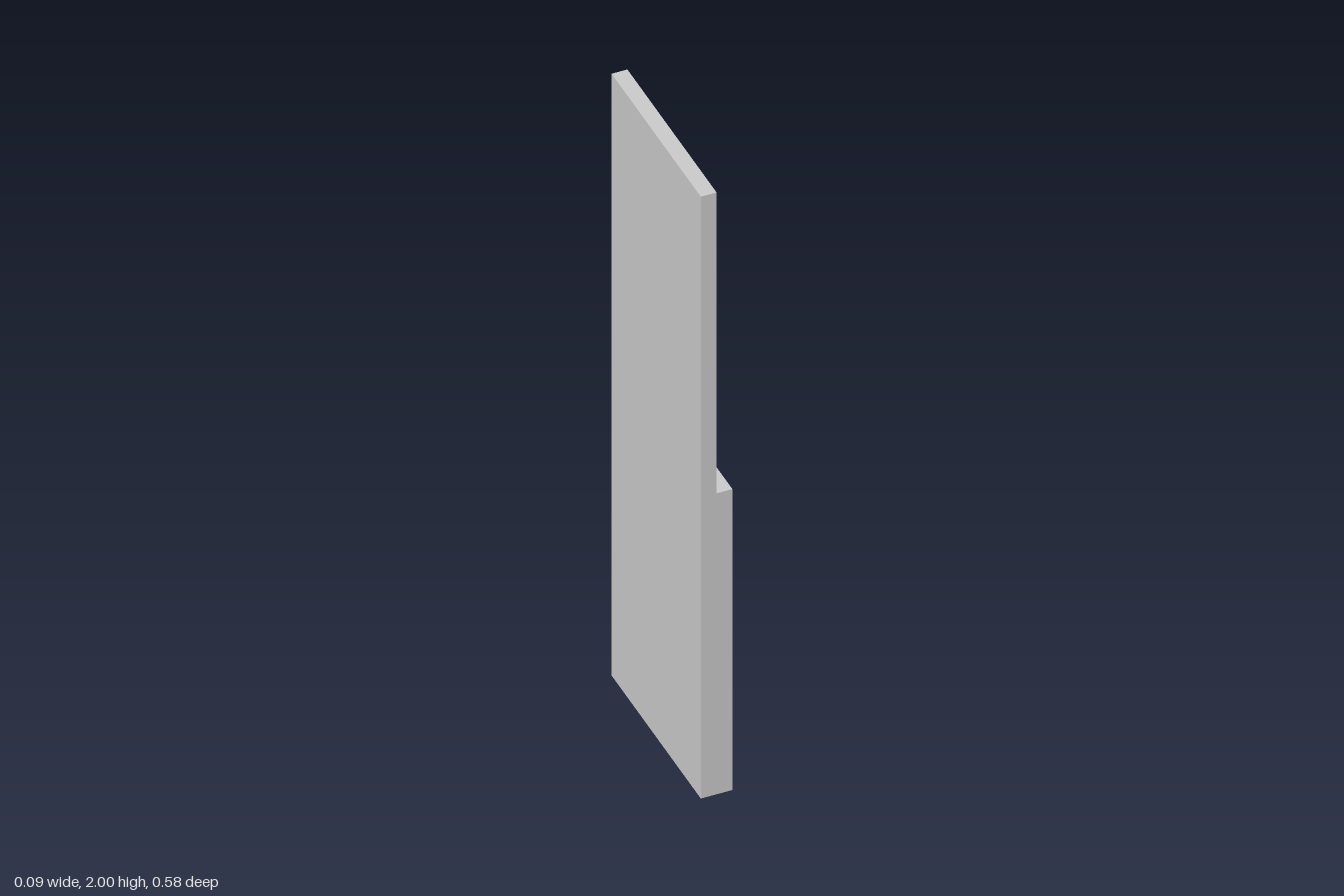
import * as THREE from 'three';

const HALF_W = 0.29;   // half width along z
const OPEN_W = 0.267;  // half width of the glazed opening
const OPEN_LOW = 0.04, OPEN_HIGH = 0.965;
const BACK = -0.0455;
const MULLION = 0.027, RAIL = 0.031;
const RAIL_CENTRES = [0.258, 0.498, 0.74];

const material = new THREE.MeshStandardMaterial({ color: 0xcccccc, flatShading: true });

// Box given by its limits on each axis
function slab(name, x0, x1, y0, y1, z0, z1) {
  const mesh = new THREE.Mesh(new THREE.BoxGeometry(x1 - x0, y1 - y0, z1 - z0), material);
  mesh.position.set((x0 + x1) / 2, (y0 + y1) / 2, (z0 + z1) / 2);
  mesh.name = name;
  return mesh;
}

// One sash: back panel, surrounding frame and glazing bars, facing +x
function sash(name, face, recess) {
  const group = new THREE.Group();
  group.name = name;
  const pane = face - recess;

  group.add(slab('panel', BACK, pane, 0, 1, -HALF_W, HALF_W));

  const outline = new THREE.Shape([
    new THREE.Vector2(-HALF_W, 0), new THREE.Vector2(HALF_W, 0),
    new THREE.Vector2(HALF_W, 1), new THREE.Vector2(-HALF_W, 1),
  ]);
  outline.holes.push(new THREE.Path([
    new THREE.Vector2(-OPEN_W, OPEN_LOW), new THREE.Vector2(-OPEN_W, OPEN_HIGH),
    new THREE.Vector2(OPEN_W, OPEN_HIGH), new THREE.Vector2(OPEN_W, OPEN_LOW),
  ]));
  const frameGeometry = new THREE.ExtrudeGeometry(outline, { depth: recess, bevelEnabled: false });
  frameGeometry.rotateY(Math.PI / 2);
  const frame = new THREE.Mesh(frameGeometry, material);
  frame.name = 'frame';
  frame.position.x = pane;
  group.add(frame);

  // Glazing bars sit a hair below the frame face
  const barFace = face - 0.001;
  group.add(slab('verticalBar', pane, barFace, OPEN_LOW, OPEN_HIGH, -MULLION / 2, MULLION / 2));
  for (const y of RAIL_CENTRES) {
    for (const [z0, z1] of [[-OPEN_W, -MULLION / 2], [MULLION / 2, OPEN_W]]) {
      group.add(slab('horizontalBar', pane, barFace, y - RAIL / 2, y + RAIL / 2, z0, z1));
    }
  }
  return group;
}

export function createModel() {
  const model = new THREE.Group();
  model.name = 'sashWindow';
  const lower = sash('lowerSash', 0.0455, 0.024);
  const upper = sash('upperSash', 0, 0.031);
  upper.position.y = 1;
  model.add(lower, upper);
  return model;
}
